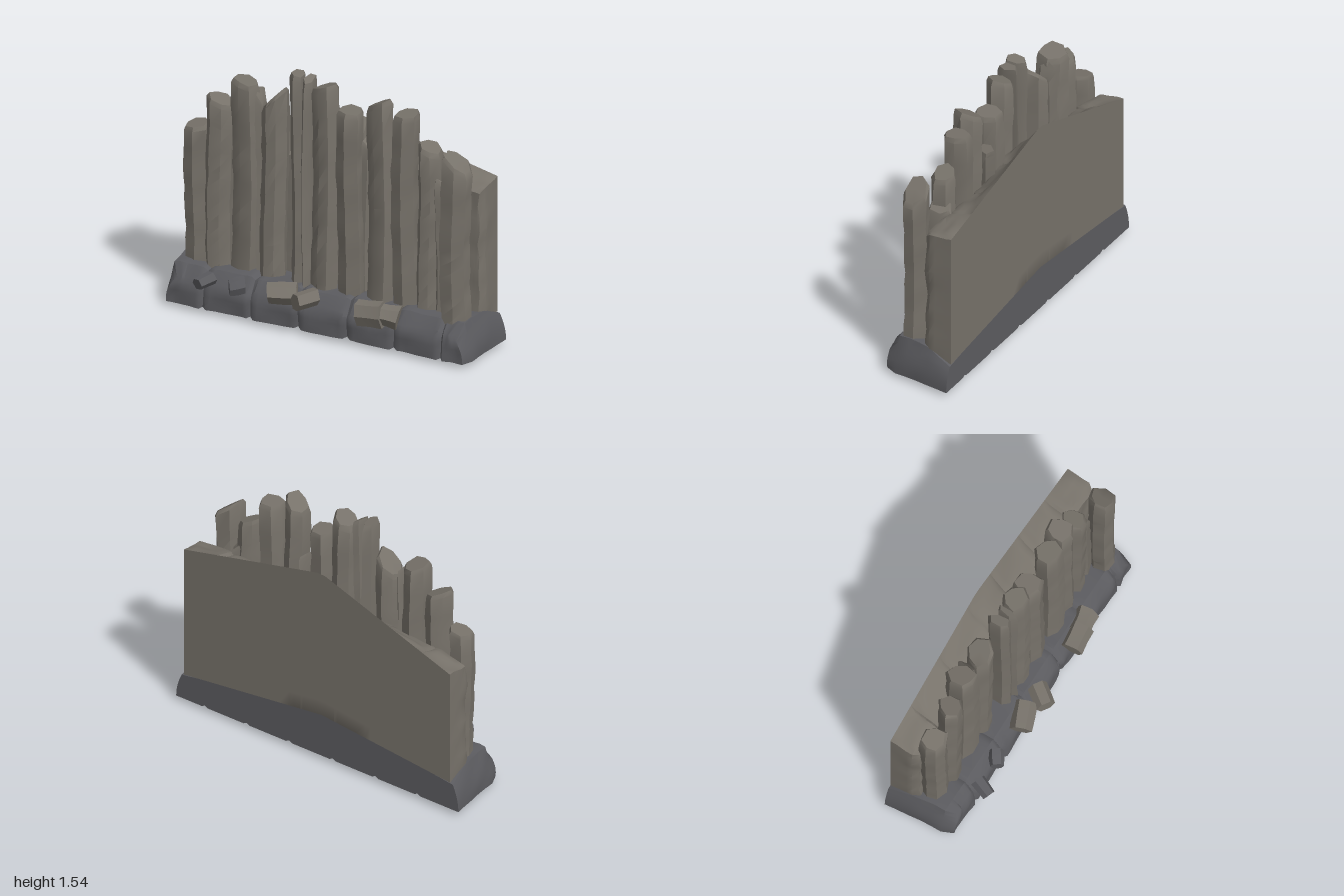
import * as THREE from 'three';
import { toCreasedNormals } from 'three/addons/utils/BufferGeometryUtils.js';

const stone = new THREE.MeshStandardMaterial({ color: 0x77726a });
const darkStone = new THREE.MeshStandardMaterial({ color: 0x5c5c60 });
const { lerp, smoothstep } = THREE.MathUtils;
const BACK = -0.265;

// Moves every vertex of a geometry by a rule.
function warp(geo, rule) {
  const p = geo.attributes.position;
  const v = new THREE.Vector3();
  for (let i = 0; i < p.count; i++) {
    rule(v.fromBufferAttribute(p, i));
    p.setXYZ(i, v.x, v.y, v.z);
  }
  return geo;
}

function addMesh(group, name, geo, material, crease = 0.6) {
  const mesh = new THREE.Mesh(toCreasedNormals(geo, crease), material);
  mesh.name = name;
  group.add(mesh);
  return mesh;
}

// Smooth bumpiness of the stone.
const bump = (x, y, z) =>
  Math.sin(x * 17 + y * 5 + 1) * Math.sin(y * 19 + z * 7) + 0.5 * Math.sin(x * 37 - y * 31 + z * 29);

// Piecewise linear height over x, with a kink at the middle.
const ridge = (x, left, mid, right) => (x < -0.03 ? lerp(mid, left, (-0.03 - x) / 0.93) : lerp(mid, right, (x + 0.03) / 0.97));

// Stone block from x0 to x1: the rule receives x, u (0 bottom..1 top), w (0 back..1 front), seam (0..1).
function block(x0, x1, ny, nz, rule) {
  return warp(new THREE.BoxGeometry(2, 1, 1, 8, ny, nz), (v) => {
    const s = Math.sign(v.x) * Math.pow(Math.abs(v.x), 0.55);
    const x = lerp(x0, x1, (s + 1) / 2);
    const seam = Math.abs(s) > 0.99 && Math.abs(x) < 0.9 ? 1 : 0;
    rule(v, x, v.y + 0.5, v.z + 0.5, seam);
  });
}

// Wobbly shaft with a slanted, chamfered top.
function column(group, [x0, x1, z0, z1, leftTop, rightTop, sides = 7], index) {
  const seed = index * 2.37 + 0.8;
  const rings = 14;
  const geo = warp(new THREE.CylinderGeometry(1, 1, 1, sides, rings), (v) => {
    const t = v.y + 0.5;
    const a = Math.atan2(v.z, v.x);
    let r = Math.hypot(v.x, v.z);
    r *= 1 + 0.1 * Math.sin(2 * a + seed) + 0.07 * Math.sin(3 * a + seed * 3);
    r *= 1 + 0.035 * Math.sin(t * 23 + seed * 5 + 2 * Math.cos(a)) + 0.025 * Math.sin(t * 41 + a * 3 + seed);
    if (t > 0.99) r *= 0.84;
    v.set(r * Math.cos(a + seed), t, r * Math.sin(a + seed));
  });
  geo.computeBoundingBox();
  const { min, max } = geo.boundingBox;
  warp(geo, (v) => {
    const u = (v.x - min.x) / (max.x - min.x);
    const w = (v.z - min.z) / (max.z - min.z);
    let t = v.y;
    if (t > 0.9 && t < 0.99) t = 0.975;
    const top = lerp(leftTop, rightTop, u) + 0.025 * Math.sin(seed * 7) * (w - 0.5);
    v.set(lerp(x0, x1, u), lerp(0.19, top, t), lerp(z0, z1, w));
    v.x += 0.008 * Math.sin(t * 5 + seed);
  });
  addMesh(group, 'column', geo, stone);
}

export function createModel() {
  const model = new THREE.Group();

  // Footing: a row of blocks with seams and a shared flat back
  const footing = new THREE.Group();
  footing.name = 'footing';
  const seams = [-1, -0.71, -0.41, -0.11, 0.2, 0.5, 0.8, 1];
  for (let i = 0; i < 7; i++) {
    const geo = block(seams[i], seams[i + 1], 6, 6, (v, x, u, w, seam) => {
      const backTop = ridge(x, 0.2, 0.3, 0.19);
      const frontTop = 0.255 - 0.065 * smoothstep(w, 0.82, 1);
      const top = w < 0.3 ? lerp(backTop, 0.255, w / 0.3) : frontTop;
      const dip = Math.max(0, Math.sin(x * 9.2 + 1.1)) * Math.sin(Math.PI * w);
      const bottom = 0.027 - 0.027 * dip * dip + 0.012 * seam;
      let y = lerp(bottom, top, u);
      if (u > 0.99 && w > 0.01) y += 0.006 * bump(x, 0, w) - 0.015 * seam;
      let z = lerp(BACK, 0.16, w);
      if (w > 0.99) z += 0.006 * bump(x, y, 1) - 0.014 * seam - 0.02 * smoothstep(u, 0.7, 1);
      // ends lean in toward the front and the top
      const end = smoothstep(Math.abs(x), 0.8, 1);
      const lean = 0.045 * w + 0.04 * u * u + 0.02 * (w > 0.99 ? 1 : 0);
      v.set(x - Math.sign(x) * end * (lean - 0.008 * bump(0, y, z) * w), y, z);
    });
    addMesh(footing, 'footingBlock', geo, darkStone, 0.7);
  }
  model.add(footing);

  // Backing wall: slabs with a top that slopes down toward the columns
  const wall = new THREE.Group();
  wall.name = 'backWall';
  const joints = [-0.94, -0.72, -0.42, -0.12, 0.12, 0.42, 0.7, 0.945];
  for (let i = 0; i < 7; i++) {
    const geo = block(joints[i], joints[i + 1], 10, 5, (v, x, u, w, seam) => {
      const crest = ridge(x, 0.92, 1.25, 1.03);
      const slope = 0.15 * (1 - smoothstep(Math.abs(x), 0.2, 0.95)) + 0.02;
      const front = w > 0.99 ? 1 : 0;
      let top = crest - slope * Math.min(1, w * 1.4) - 0.03 * front;
      if (w > 0.01) top += 0.008 * bump(x, 1, w) - 0.015 * seam;
      // lower edge of the back follows the footing
      const y = lerp(lerp(ridge(x, 0.2, 0.3, 0.19), 0.2, Math.min(1, w * 3)), top, u);
      const z = lerp(BACK, -0.085, w) + front * (0.008 * bump(x, y, 0) - 0.012 * seam);
      const end = smoothstep(Math.abs(x), 0.85, 0.94);
      v.set(x - Math.sign(x) * end * (0.025 * front + 0.008 * w * bump(0, y, z)), y, z);
    });
    addMesh(wall, 'wallSlab', geo, stone, 0.7);
  }
  model.add(wall);

  // Columns: x from, x to, z from, z to, top on the -x side, top on the +x side, sides
  const columns = new THREE.Group();
  columns.name = 'columns';
  [
    [-0.92, -0.76, -0.11, 0.04, 1.06, 1.09],
    [-0.78, -0.61, -0.11, 0.05, 1.3, 1.23],
    [-0.61, -0.445, -0.14, 0.04, 1.42, 1.38],
    [-0.475, -0.425, -0.12, 0.0, 1.38, 1.28, 5],
    [-0.435, -0.27, -0.13, 0.04, 1.25, 1.43],
    [-0.22, -0.135, -0.09, 0.06, 1.54, 1.52, 6],
    [-0.15, -0.095, -0.07, 0.07, 1.53, 1.5, 5],
    [-0.09, 0.075, -0.1, 0.06, 1.46, 1.52],
    [0.065, 0.22, -0.11, 0.06, 1.37, 1.36],
    [0.2, 0.25, -0.13, -0.02, 1.2, 1.15, 5],
    [0.265, 0.425, -0.1, 0.065, 1.42, 1.5],
    [0.415, 0.565, -0.12, 0.05, 1.41, 1.42],
    [0.56, 0.715, -0.12, 0.04, 1.27, 1.21],
    [0.66, 0.76, -0.13, 0.02, 1.1, 1.02, 6],
    [0.755, 0.92, -0.06, 0.105, 1.28, 1.15],
  ].forEach((c, i) => column(columns, c, i));
  model.add(columns);

  // Broken stumps lying on the front edge: centre, radius, length, yaw, tilt
  const rubble = new THREE.Group();
  rubble.name = 'rubble';
  [
    [-0.68, 0.22, 0.19, 0.045, 0.11, 1.2, 0.1],
    [-0.49, 0.215, 0.16, 0.05, 0.09, 0.6, 0.2],
    [-0.2, 0.23, 0.155, 0.065, 0.17, 0.4, 0.0],
    [-0.045, 0.235, 0.18, 0.06, 0.13, 0.95, 0.1],
    [0.36, 0.225, 0.165, 0.078, 0.15, 0.12, 0.05],
    [0.46, 0.225, 0.14, 0.066, 0.13, 0.2, -0.1],
  ].forEach(([x, y, z, r, length, yaw, tilt], i) => {
    const geo = warp(new THREE.CylinderGeometry(r * 0.88, r, length, 6, 2), (v) => {
      const a = Math.atan2(v.z, v.x);
      const k = 1 + 0.1 * Math.sin(2 * a + i * 2) + 0.06 * Math.sin(v.y * 60 + i);
      v.set(v.x * k, v.y + v.x * 0.2 * Math.sin(i * 3 + 1), v.z * k);
    });
    geo.rotateZ(Math.PI / 2 + tilt);
    const mesh = addMesh(rubble, 'stump', geo, i < 2 ? darkStone : stone, 0.5);
    mesh.position.set(x, y, z);
    mesh.rotation.y = yaw;
  });
  model.add(rubble);

  return model;
}
